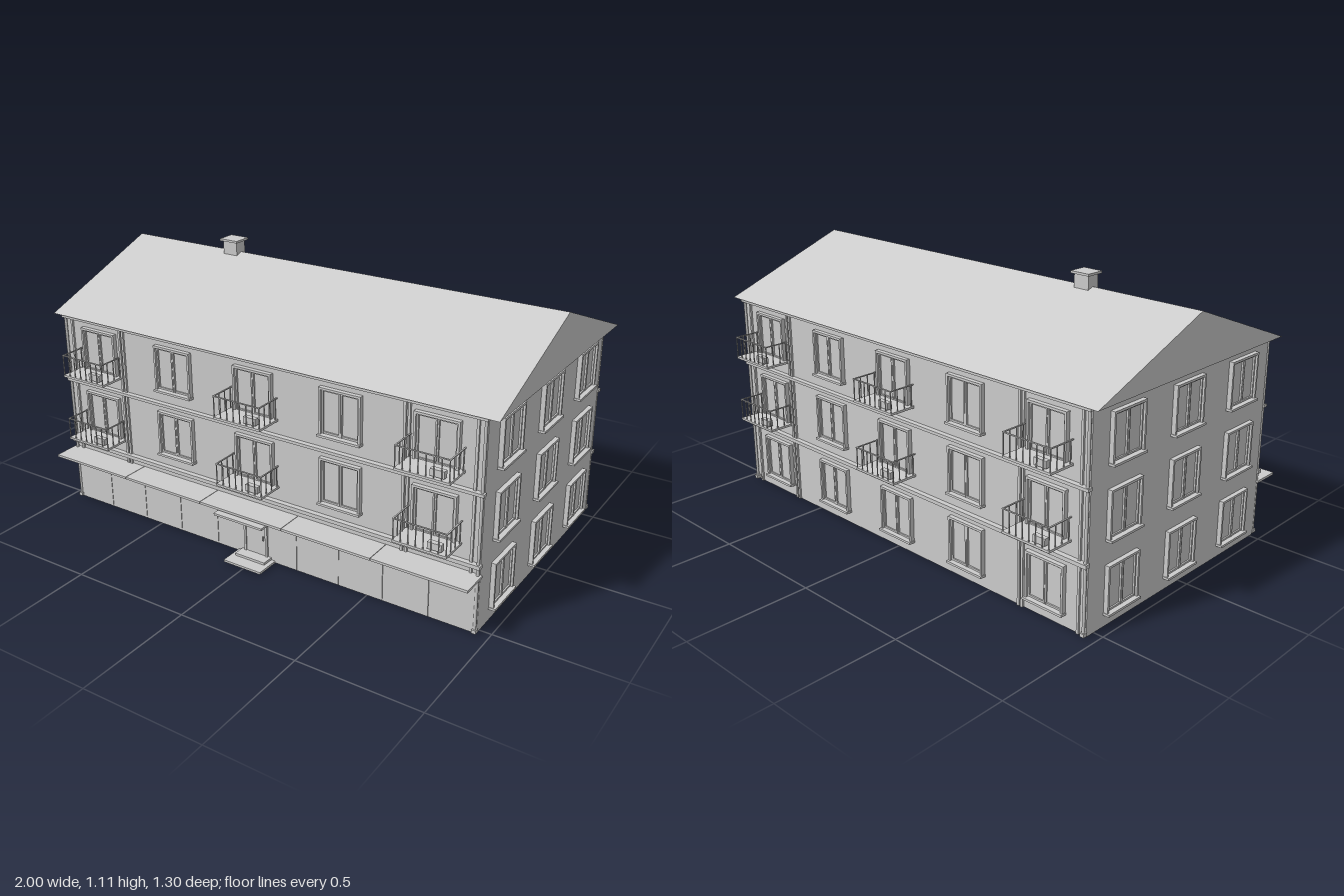
import * as THREE from 'three';

const grey = new THREE.MeshStandardMaterial({ color: 0xcccccc });
grey.name = 'light grey';

// Box given by its limits on each axis
function box(parent, name, x0, x1, y0, y1, z0, z1) {
  const m = new THREE.Mesh(new THREE.BoxGeometry(x1 - x0, y1 - y0, z1 - z0), grey);
  m.position.set((x0 + x1) / 2, (y0 + y1) / 2, (z0 + z1) / 2);
  m.name = name;
  parent.add(m);
  return m;
}

function group(parent, name, x = 0, y = 0, z = 0, turn = 0) {
  const g = new THREE.Group();
  g.name = name;
  g.position.set(x, y, z);
  g.rotation.y = turn;
  parent.add(g);
  return g;
}

const W = 0.955;            // half length of the walls
const D = 0.53;             // half depth of the walls
const BAY = 0.386;          // window spacing on the long sides
const floors = [0.05, 0.333, 0.612];

// Two-sash window standing on y = 0, wall plane at z = 0
function addWindow(parent, x, y, z) {
  const g = group(parent, 'window', x, y, z);
  const w = 0.088, h = 0.19, t = 0.009;
  box(g, 'glass', -w + t, w - t, t, h - t, 0, 0.003);
  for (const s of [-1, 1]) {
    const e = s * (w - t / 2);
    box(g, 'frameSide', e - t / 2, e + t / 2, 0, h, 0, 0.018);
    // sash stiles and rails
    for (const c of [0.004, 0.075]) box(g, 'sashStile', s * c - 0.003, s * c + 0.003, t, h - t, 0, 0.01);
    for (const yy of [t, h - t - 0.007]) box(g, 'sashRail', s * 0.04 - 0.038, s * 0.04 + 0.038, yy, yy + 0.007, 0, 0.009);
  }
  box(g, 'frameTop', -w, w, h - t, h, 0, 0.018);
  box(g, 'sill', -w - 0.003, w + 0.003, -0.002, 0.007, 0, 0.027);
}

// Balcony with slab, railing and a small outdoor unit
function addBalcony(parent, x, y, z) {
  const g = group(parent, 'balcony', x, y, z);
  const w = 0.107, d = 0.115, h = 0.095, r = 0.0017;
  box(g, 'slab', -w, w, 0, 0.009, 0, d);
  const bar = (bx, bz) => box(g, 'railingBar', bx - r, bx + r, 0.009, h, bz - r, bz + r);
  const f = d - 0.003, e = w - 0.003;
  for (let i = 0; i <= 7; i++) bar(-e + (2 * e * i) / 7, f);
  for (const s of [-1, 1]) {
    for (let i = 0; i < 3; i++) bar(s * e, 0.012 + i * 0.034);
    box(g, 'handrailSide', s * e - 0.0025, s * e + 0.0025, h - 0.004, h, 0, d);
  }
  box(g, 'handrailFront', -w, w, h - 0.004, h, f - 0.0025, f + 0.0025);
  box(g, 'outdoorUnit', 0.028, 0.083, 0.015, 0.042, d - 0.026, d - 0.006);
}

// Everything shared by the front and back
function addLongSide(parent, name, turn) {
  const s = group(parent, name, 0, 0, 0, turn);
  const back = turn !== 0;
  floors.forEach((y, f) => {
    if (f === 0 && !back) return;
    for (let i = -2; i <= 2; i++) {
      addWindow(s, i * BAY, y, D);
      if (f > 0 && i % 2 === 0) addBalcony(s, i * BAY, y + 0.002, D);
    }
  });
  // string courses and cornice
  for (const [y, h] of [[0.268, 0.015], [0.549, 0.012], [0.829, 0.016]])
    box(s, 'band', -W - 0.006, W + 0.006, y, y + h, D, D + 0.021);
  const base = back ? 0 : 0.24;
  for (const k of [-1, 1]) {
    // pilaster strips beside the end bays
    for (const c of [0.645, 0.662, 0.92]) box(s, 'pilaster', k * c - 0.005, k * c + 0.005, base, 0.83, D, D + 0.008);
    // drainpipes at the corners
    const pipe = new THREE.Mesh(new THREE.CylinderGeometry(0.006, 0.006, 0.82, 8), grey);
    pipe.name = 'drainpipe';
    pipe.position.set(k * 0.95, 0.425, D + 0.01);
    s.add(pipe);
    box(s, 'drainpipeOutlet', k * 0.95 - 0.009, k * 0.95 + 0.009, 0.006, 0.02, D, D + 0.02);
  }
  return s;
}

export function createModel() {
  const root = new THREE.Group();
  root.name = 'apartmentBuilding';
  const b = group(root, 'building', -0.004, 0, -0.01);

  box(b, 'walls', -W, W, 0, 0.842, -D, D);

  // Gabled roof as a closed prism
  const profile = new THREE.Shape();
  profile.moveTo(-0.559, 0.842);
  profile.lineTo(0.559, 0.842);
  profile.lineTo(0, 1.055);
  profile.closePath();
  const roofGeo = new THREE.ExtrudeGeometry(profile, { depth: 2, bevelEnabled: false });
  roofGeo.translate(0, 0, -1);
  roofGeo.rotateY(Math.PI / 2);
  const roof = new THREE.Mesh(roofGeo, grey);
  roof.name = 'roof';
  roof.position.x = 0.004;
  b.add(roof);

  box(b, 'chimney', -0.515, -0.447, 0.98, 1.1, -0.026, 0.03);
  box(b, 'chimneyCap', -0.523, -0.437, 1.1, 1.109, -0.036, 0.042);

  const front = addLongSide(b, 'frontSide', 0);
  addLongSide(b, 'backSide', Math.PI);

  // Shopfront panels
  for (let i = 0; i < 10; i++) {
    const x = -W + i * W / 5;
    box(front, 'shopPanel', x + 0.001, x + W / 5 - 0.001, 0.004, 0.228, D, D + 0.011);
  }
  // Awning in five sections
  for (let i = 0; i < 5; i++) {
    const x = (i - 2.5) * BAY;
    box(front, 'awning', x + 0.001, x + BAY - 0.001, 0.23, 0.24, D, 0.645);
  }
  // Entrance
  box(front, 'door', -0.046, 0.046, 0.02, 0.187, D, D + 0.014);
  for (const k of [-1, 1]) box(front, 'doorJamb', k * 0.051 - 0.005, k * 0.051 + 0.005, 0.01, 0.195, D, D + 0.019);
  box(front, 'doorLintel', -0.056, 0.056, 0.187, 0.195, D, D + 0.019);
  box(front, 'doorHandle', 0.034, 0.039, 0.09, 0.108, D + 0.014, D + 0.02);
  box(front, 'doorCanopy', -0.113, 0.113, 0.212, 0.221, D, 0.66);
  box(front, 'lowerStep', -0.088, 0.088, 0.003, 0.012, D, 0.642);
  box(front, 'upperStep', -0.07, 0.07, 0.012, 0.022, D, 0.59);

  // Gable-end windows
  for (const k of [-1, 1]) {
    const side = group(b, k > 0 ? 'leftEnd' : 'rightEnd', 0, 0, 0, k * Math.PI / 2);
    for (const y of floors)
      for (let i = -1; i <= 1; i++) addWindow(side, i * 0.351, y, W);
  }
  return root;
}
